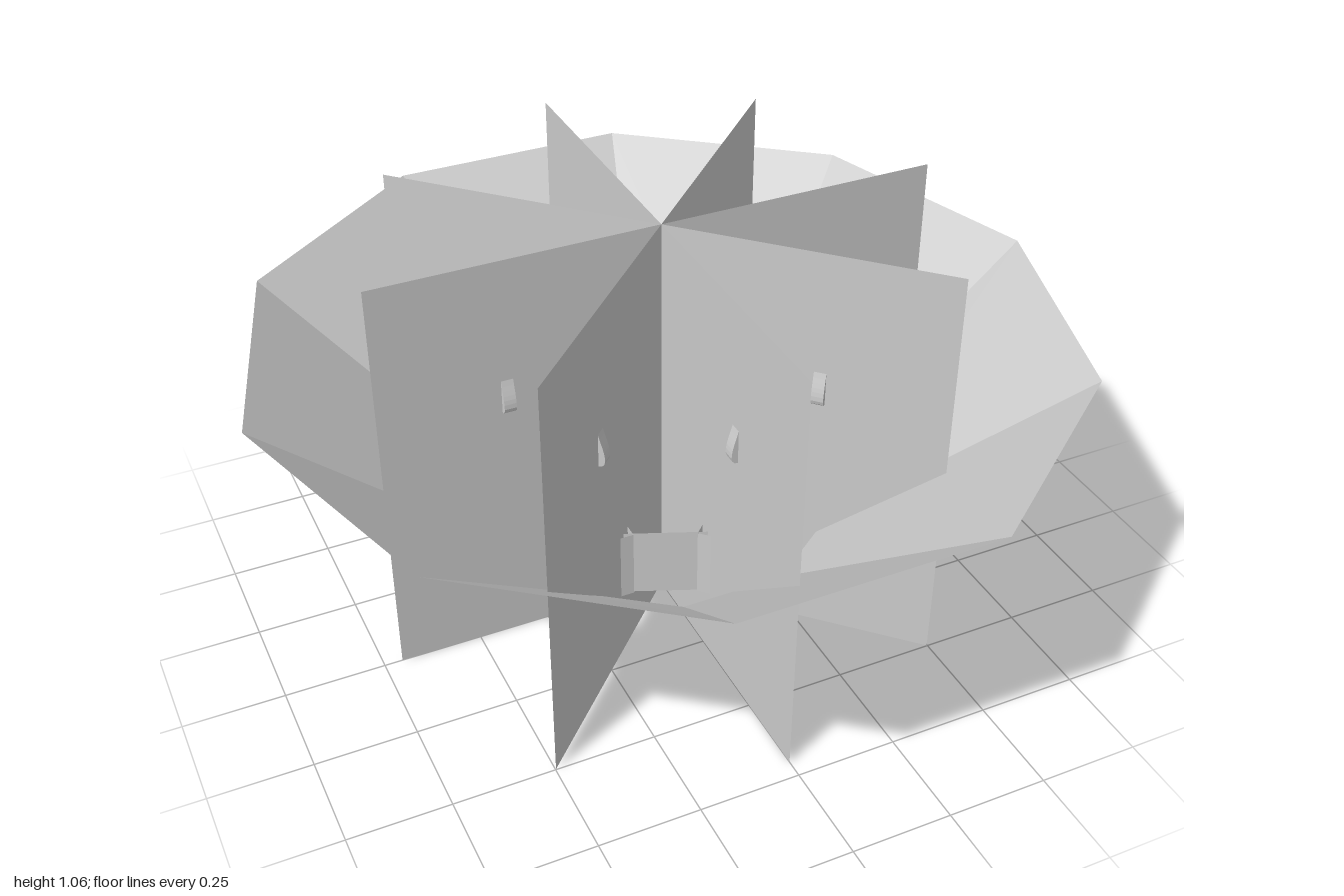
import * as THREE from 'three';

const material = new THREE.MeshStandardMaterial({ color: 0xcccccc, flatShading: true, side: THREE.DoubleSide });

function addMesh(parent, name, geometry) {
  const mesh = new THREE.Mesh(geometry, material);
  mesh.name = name;
  parent.add(mesh);
  return mesh;
}

export function createModel() {
  const model = new THREE.Group();
  model.name = 'crossedPlaneBowl';

  // Four upright sheets crossing on the centre axis
  for (let i = 0; i < 4; i++) {
    const sheet = addMesh(model, 'crossedSheet', new THREE.PlaneGeometry(1.41, 1.06));
    sheet.position.y = 0.53;
    sheet.rotation.y = i * Math.PI / 4;
  }

  // Open ten-sided flared bowl, its rim stretched to be as deep as it is wide
  const bowlGeometry = new THREE.CylinderGeometry(1, 0.417, 0.5, 10, 1, true, Math.PI / 2);
  const p = bowlGeometry.attributes.position;
  for (let i = 0; i < p.count; i++) {
    p.setZ(i, p.getZ(i) * (p.getY(i) > 0 ? 1.051 : 1.01));
  }
  bowlGeometry.computeVertexNormals();
  addMesh(model, 'flaredBowl', bowlGeometry).position.y = 0.53;

  // Open eight-sided collar under the bowl
  addMesh(model, 'collar', new THREE.CylinderGeometry(0.263, 0.263, 0.18, 8, 1, true)).position.y = 0.27;

  // Pointed drop: round below, tip above
  const drop = new THREE.Shape();
  drop.moveTo(0, 0.045);
  drop.bezierCurveTo(0.008, 0.015, 0.016, 0, 0.016, -0.025);
  drop.bezierCurveTo(0.016, -0.046, -0.016, -0.046, -0.016, -0.025);
  drop.bezierCurveTo(-0.016, 0, -0.008, 0.015, 0, 0.045);
  const dropGeometry = new THREE.ExtrudeGeometry(drop, { depth: 0.03, bevelEnabled: false, curveSegments: 6 });
  dropGeometry.translate(0, 0, -0.015);

  // Collar posts and drops, one of each on every half sheet
  const postGeometry = new THREE.CylinderGeometry(0.024, 0.024, 0.18, 4, 1, true);
  for (let i = 0; i < 8; i++) {
    const spoke = new THREE.Group();
    spoke.name = 'spoke';
    spoke.rotation.y = i * Math.PI / 4;
    addMesh(spoke, 'collarPost', postGeometry).position.set(0, 0.27, 0.258);
    addMesh(spoke, 'drop', dropGeometry).position.set(0, 0.7, 0.39);
    model.add(spoke);
  }
  return model;
}
